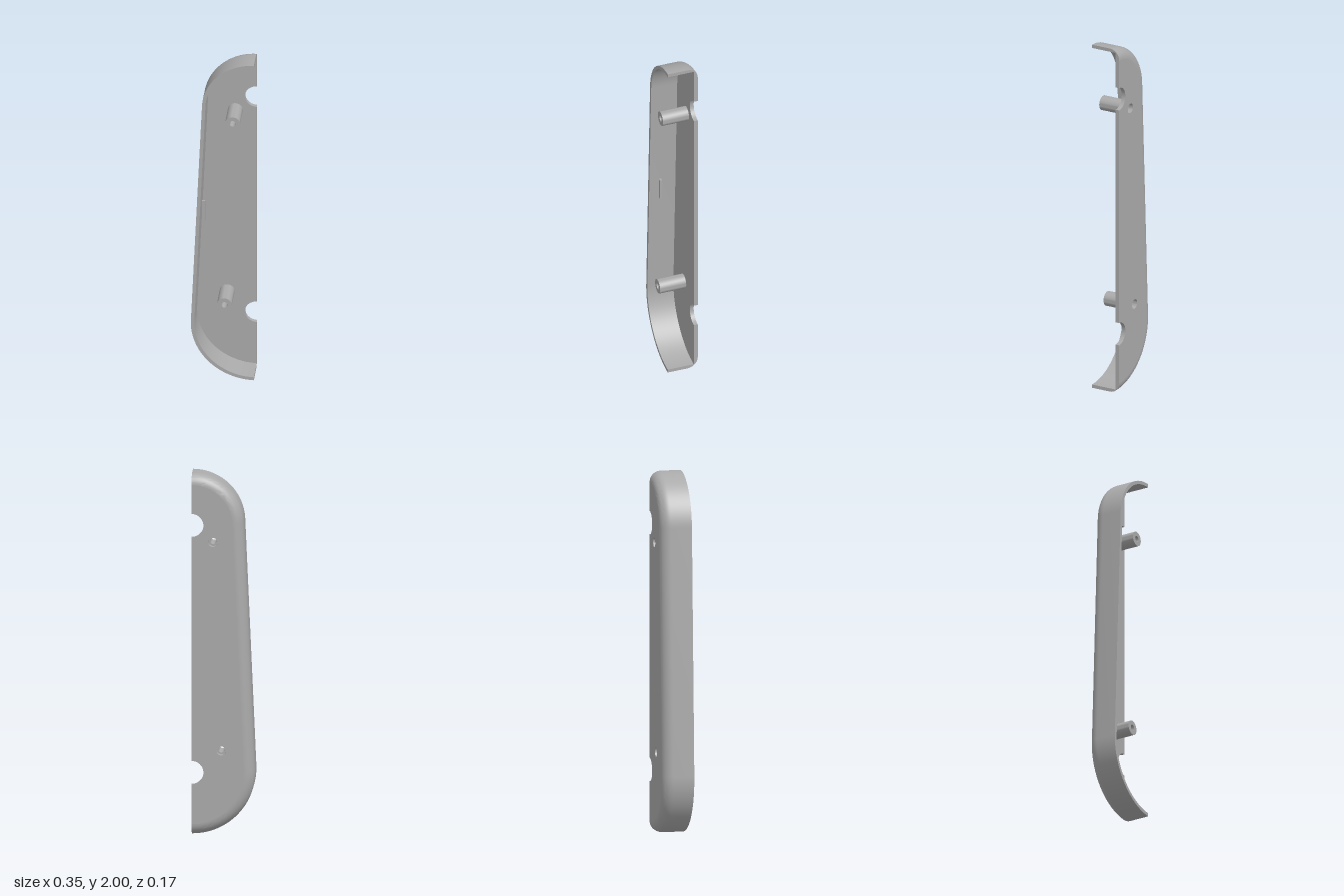
import * as THREE from 'three';
import { toCreasedNormals } from 'three/addons/utils/BufferGeometryUtils.js';

const CUT = 0.172;                        // x of the open, straight edge
const TOP = { y: 1.715, r: 0.285 };       // upper corner arc
const BOTTOM = { y: 0.346, r: 0.346 };    // lower corner arc
const BACK = -0.087, FRONT = 0.087, FLOOR = -0.064;
const WALL = 0.019, FILLET = 0.06, NOTCH = 0.065;
const POSTS = [[0.055, 1.625], [0.01, 0.47]];
const BORE = 0.017, RECESS = 0.027, POST = 0.041;

// Outline from the top of the cut edge, round the left side, to the bottom
function outline(inset) {
  const points = [];
  const tangent = Math.PI - Math.asin((BOTTOM.r - TOP.r) / (TOP.y - BOTTOM.y));
  const arc = (c, from, to) => {
    for (let i = 0; i <= 28; i++) {
      const a = from + (to - from) * i / 28;
      points.push(new THREE.Vector2(CUT + (c.r - inset) * Math.cos(a), c.y + (c.r - inset) * Math.sin(a)));
    }
  };
  arc(TOP, Math.PI / 2, tangent);
  arc(BOTTOM, tangent, Math.PI * 1.5);
  return points;
}

// Rim wall: a closed section (inset, z) with a rounded back edge, swept along the outline
function rimGeometry() {
  const section = [[WALL, FLOOR], [WALL, FRONT], [0, FRONT]];
  for (let i = 0; i <= 10; i++) {
    const a = i / 10 * Math.PI / 2;
    section.push([FILLET * (1 - Math.cos(a)), BACK + FILLET * (1 - Math.sin(a))]);
  }
  section.push([FILLET, FLOOR]);
  const n = section.length;
  const rails = section.map(([inset]) => outline(inset));
  const steps = rails[0].length;
  const positions = [], index = [];
  for (let i = 0; i < steps; i++) {
    for (let j = 0; j < n; j++) positions.push(rails[j][i].x, rails[j][i].y, section[j][1]);
  }
  for (let i = 0; i < steps - 1; i++) {
    for (let j = 0; j < n; j++) {
      const k = (j + 1) % n;
      const a = i * n + j, b = i * n + k, c = a + n, d = b + n;
      index.push(a, b, c, b, d, c);
    }
  }
  // Flat ends on the cut plane
  const last = (steps - 1) * n;
  const contour = section.map(([d, z]) => new THREE.Vector2(d, z));
  for (const [a, b, c] of THREE.ShapeUtils.triangulateShape(contour, [])) {
    index.push(a, c, b, last + a, last + b, last + c);
  }
  const geometry = new THREE.BufferGeometry();
  geometry.setAttribute('position', new THREE.Float32BufferAttribute(positions, 3));
  geometry.setIndex(index);
  return toCreasedNormals(geometry, 0.5);
}

// Back plate with two half-round notches and the screw holes
function plateGeometry() {
  const points = outline(FILLET);
  for (const c of [BOTTOM, TOP]) {
    for (let i = 0; i <= 24; i++) {
      const a = Math.PI * (1.5 - i / 24);
      points.push(new THREE.Vector2(CUT + NOTCH * Math.cos(a), c.y + NOTCH * Math.sin(a)));
    }
  }
  const shape = new THREE.Shape(points);
  for (const [x, y] of POSTS) {
    shape.holes.push(new THREE.Path().absarc(x, y, RECESS, 0, Math.PI * 2, true));
  }
  const geometry = new THREE.ExtrudeGeometry(shape, { depth: FLOOR - BACK, bevelEnabled: false, curveSegments: 16 });
  geometry.translate(0, 0, BACK);
  return toCreasedNormals(geometry, 0.5);
}

// Hollow screw post with a wider recess opening at the back
function postGeometry() {
  const seat = BACK + 0.035;
  const profile = [[POST, FLOOR], [POST, FRONT], [BORE, FRONT], [BORE, seat], [RECESS, seat], [RECESS, BACK]]
    .map(([r, z]) => new THREE.Vector2(r, z));
  const geometry = new THREE.LatheGeometry(profile, 32);
  geometry.rotateX(Math.PI / 2);
  return toCreasedNormals(geometry, 0.5);
}

export function createModel() {
  const model = new THREE.Group();
  model.name = 'halfShell';
  const grey = new THREE.MeshStandardMaterial({ color: 0xaaaaaa });
  grey.name = 'grey plastic';
  const add = (name, geometry, x = 0, y = 0, z = 0) => {
    const mesh = new THREE.Mesh(geometry, grey);
    mesh.name = name;
    mesh.position.set(x, y, z);
    model.add(mesh);
  };

  add('rimWall', rimGeometry());
  add('backPlate', plateGeometry());
  const post = postGeometry();
  POSTS.forEach(([x, y], i) => add(i ? 'lowerScrewPost' : 'upperScrewPost', post, x, y));
  // Small catch beside the side wall
  add('catchRib', new THREE.BoxGeometry(0.018, 0.122, 0.013), -0.11, 1.03, 0.027);
  return model;
}
